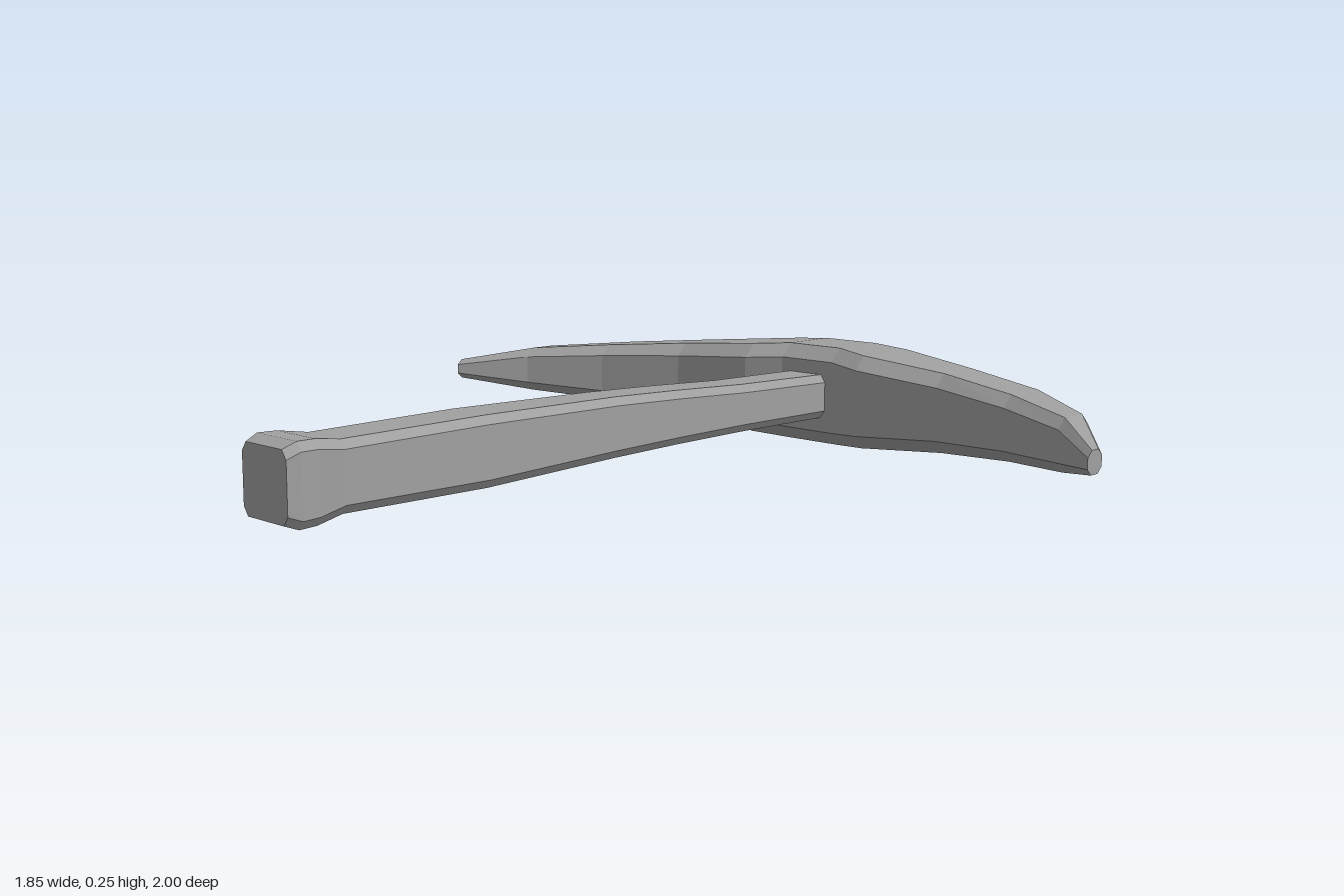
import * as THREE from 'three';

// Chamfered rectangle, counter-clockwise: u from u0 to u1, v from v0 to v1
function chamferedRing(u0, u1, v0, v1, cu, cv) {
  return [
    [u1, v0 + cv], [u1, v1 - cv], [u1 - cu, v1], [u0 + cu, v1],
    [u0, v1 - cv], [u0, v0 + cv], [u0 + cu, v0], [u1 - cu, v0],
  ];
}

// Skin a list of 3D rings and close both ends
function loft(rings) {
  const n = rings[0].length;
  const index = [];
  for (let r = 0; r < rings.length - 1; r++) {
    for (let i = 0; i < n; i++) {
      const j = (i + 1) % n;
      const a = r * n + i, b = r * n + j, c = a + n, d = b + n;
      index.push(a, b, d, a, d, c);
    }
  }
  const last = (rings.length - 1) * n;
  for (let i = 1; i < n - 1; i++) {
    index.push(0, i + 1, i, last, last + i, last + i + 1);
  }
  const geometry = new THREE.BufferGeometry();
  geometry.setAttribute('position', new THREE.Float32BufferAttribute(rings.flat(2), 3));
  geometry.setIndex(index);
  const flat = geometry.toNonIndexed();
  flat.computeVertexNormals();
  return flat;
}

export function createModel() {
  const group = new THREE.Group();
  group.name = 'pickaxe';
  const grey = new THREE.MeshStandardMaterial({ color: 0xa0a0a0, flatShading: true });
  grey.name = 'grey';

  // Curved head, half of it: z, inner x, outer x, half height, chamfer x, chamfer y
  const half = [
    [0.08, 0.71, 0.925, 0.124, 0.033, 0.034],
    [0.18, 0.68, 0.925, 0.116, 0.033, 0.034],
    [0.42, 0.68, 0.862, 0.096, 0.031, 0.032],
    [0.65, 0.615, 0.785, 0.077, 0.03, 0.028],
    [0.85, 0.517, 0.637, 0.06, 0.025, 0.024],
    [1.0, 0.387, 0.442, 0.026, 0.015, 0.014],
  ];
  const mirrored = half.map(([z, ...rest]) => [-z, ...rest]).reverse();
  const midY = 0.124;
  const headRings = [...mirrored, ...half].map(([z, x0, x1, h, cx, cy]) =>
    chamferedRing(x0, x1, midY - h, midY + h, cx, cy).map(([x, y]) => [x, y, z]));
  const head = new THREE.Mesh(loft(headRings), grey);
  head.name = 'head';
  group.add(head);

  // Gently bent handle with a flared butt: x, back z, front z, bottom y, top y
  const handleStations = [
    [-0.925, -0.06, 0.09, 0.052, 0.2],
    [-0.895, -0.066, 0.097, 0.041, 0.213],
    [-0.85, -0.065, 0.092, 0.042, 0.212],
    [-0.78, -0.06, 0.077, 0.052, 0.201],
    [-0.4, -0.075, 0.066, 0.048, 0.204],
    [0.0, -0.081, 0.043, 0.057, 0.197],
    [0.2, -0.081, 0.042, 0.062, 0.191],
    [0.42, -0.068, 0.052, 0.068, 0.184],
    [0.74, -0.068, 0.062, 0.07, 0.18],
  ];
  const handleRings = handleStations.map(([x, z0, z1, y0, y1]) =>
    chamferedRing(-z1, -z0, y0, y1, 0.014, 0.019).map(([u, y]) => [x, y, -u]));
  const handle = new THREE.Mesh(loft(handleRings), grey);
  handle.name = 'handle';
  group.add(handle);

  return group;
}
